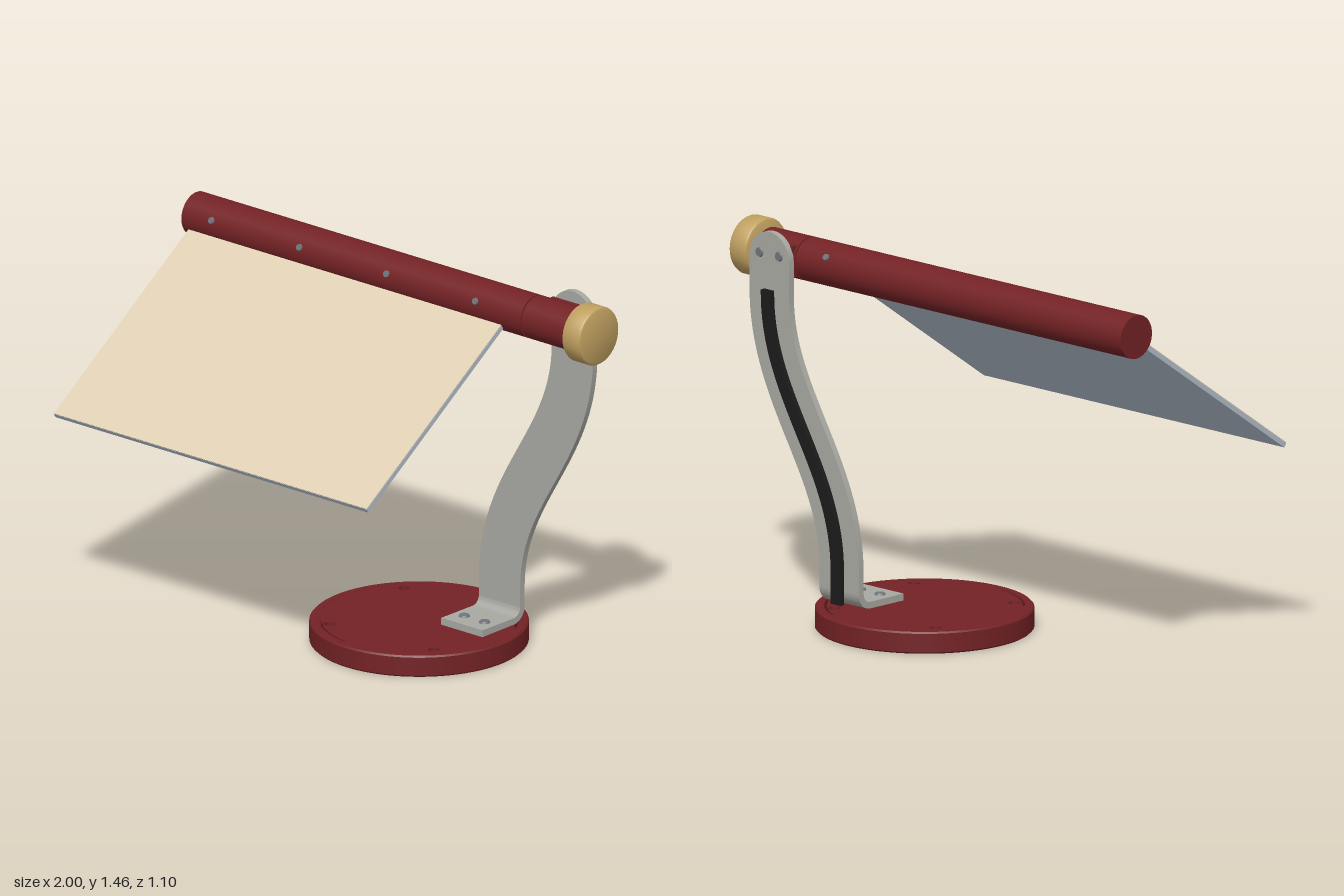
import * as THREE from 'three';
import { toCreasedNormals } from 'three/addons/utils/BufferGeometryUtils.js';

const flat = (name, color, side = THREE.FrontSide) => {
  const m = new THREE.MeshStandardMaterial({ color, side });
  m.name = name;
  return m;
};

export function createModel() {
  const model = new THREE.Group();
  model.name = 'sheetHolder';
  const red = flat('darkRed', 0x732225);
  const metal = flat('brushedMetal', 0xa8a8a2);
  const brass = flat('brass', 0xc0a060);
  const paperMat = flat('cream', 0xdfceb2);
  const panelMat = flat('paleBlueGrey', 0xb4c0cc);
  const black = flat('black', 0x1b1b1b);
  const plateMat = flat('weightGrey', 0x66696d);
  const screwMat = flat('screwSteel', 0x70757a);

  const add = (name, geo, mat, x = 0, y = 0, z = 0, parent = model) => {
    const mesh = new THREE.Mesh(geo, mat);
    mesh.name = name;
    mesh.position.set(x, y, z);
    parent.add(mesh);
    return mesh;
  };
  const lathe = (pts, seg = 64) =>
    toCreasedNormals(new THREE.LatheGeometry(pts.map(p => new THREE.Vector2(...p)), seg), 0.5);
  const extrude = (shape, depth) =>
    toCreasedNormals(new THREE.ExtrudeGeometry(shape, { depth, bevelEnabled: false, curveSegments: 32 }), 0.5);

  // Round base: hollow rim, pierced top plate, weight underneath
  const base = new THREE.Group();
  base.name = 'base';
  base.position.set(0.218, 0, -0.14);
  model.add(base);
  add('baseRim', lathe([[0.375, 0], [0.4, 0], [0.406, 0.006], [0.406, 0.077], [0.4, 0.083],
    [0.375, 0.083], [0.375, 0]], 96), red, 0, 0, 0, base);
  const top = new THREE.Shape().absarc(0, 0, 0.377, 0, Math.PI * 2, false);
  for (let k = 0; k < 4; k++) {
    const a = 0.89 + k * Math.PI / 2;
    top.holes.push(new THREE.Path().absarc(Math.cos(a) * 0.335, Math.sin(a) * 0.335, 0.022, 0, Math.PI * 2, true));
  }
  for (const a of [0.82, 4.24]) {
    const slit = new THREE.Path();
    slit.absarc(0, 0, 0.371, a - 0.35, a + 0.35, false);
    slit.absarc(0, 0, 0.362, a + 0.35, a - 0.35, true);
    slit.closePath();
    top.holes.push(slit);
  }
  add('baseTop', extrude(top, 0.022).rotateX(-Math.PI / 2), red, 0, 0.06, 0, base);
  add('baseWeight', new THREE.CylinderGeometry(0.3, 0.3, 0.025, 64), plateMat, 0, 0.05, 0, base);

  // S-shaped centre line shared by the arm and its cable channel
  const curve = new THREE.CubicBezierCurve(
    new THREE.Vector2(0.425, 0.22), new THREE.Vector2(0.425, 0.62),
    new THREE.Vector2(0.785, 0.82), new THREE.Vector2(0.785, 1.22));
  const strap = (halfWidth, y0, y1, rounded) => {
    const left = [], right = [];
    const side = (p, t) => {
      left.push(new THREE.Vector2(p.x - t.y * halfWidth, p.y + t.x * halfWidth));
      right.push(new THREE.Vector2(p.x + t.y * halfWidth, p.y - t.x * halfWidth));
    };
    const up = new THREE.Vector2(0, 1);
    side(new THREE.Vector2(0.425, y0), up);
    for (let i = 0; i <= 36; i++) side(curve.getPoint(i / 36), curve.getTangent(i / 36));
    side(new THREE.Vector2(0.785, y1), up);
    const cap = [];
    for (let i = 1; rounded && i < 24; i++) {
      const a = i / 24 * Math.PI;
      cap.push(new THREE.Vector2(0.785 + Math.cos(a) * halfWidth, y1 + Math.sin(a) * halfWidth));
    }
    return new THREE.Shape([...right, ...cap, ...left.reverse()]);
  };
  add('arm', extrude(strap(0.102, 0.145, 1.348, true), 0.025), metal, 0, 0, -0.38);
  add('cableChannel', extrude(strap(0.025, 0.095, 1.23, false), 0.02), black, 0, 0, -0.4);

  // Foot bent forward from the arm
  const foot = new THREE.Shape();
  foot.moveTo(-0.145, 0.083);
  foot.lineTo(-0.145, 0.11);
  foot.lineTo(-0.32, 0.11);
  foot.absarc(-0.32, 0.145, 0.035, -Math.PI / 2, -Math.PI, true);
  foot.lineTo(-0.38, 0.145);
  foot.absarc(-0.32, 0.145, 0.06, Math.PI, Math.PI * 1.5, false);
  foot.lineTo(-0.145, 0.083);
  add('foot', extrude(foot, 0.204).rotateY(-Math.PI / 2), metal, 0.527, 0, 0);
  for (const dx of [-0.05, 0.05]) {
    add('footScrew', new THREE.CylinderGeometry(0.018, 0.022, 0.008, 20), screwMat, 0.425 + dx, 0.113, -0.215);
    add('armScrew', new THREE.CylinderGeometry(0.02, 0.016, 0.008, 20).rotateX(Math.PI / 2),
      screwMat, 0.785 + dx, 1.365, -0.382);
  }

  // Roller tube with its end section and mounting block
  const cy = 1.347, cz = -0.271, r = 0.083;
  const tube = (name, x0, x1, rad, mat) =>
    add(name, new THREE.CylinderGeometry(rad, rad, x1 - x0, 56).rotateZ(-Math.PI / 2), mat, (x0 + x1) / 2, cy, cz);
  tube('roller', -1, 0.676, r, red);
  tube('rollerJoint', 0.67, 0.69, 0.076, red);
  tube('rollerEnd', 0.683, 0.887, r, red);
  tube('knobNeck', 0.88, 0.915, 0.045, brass);
  add('mountBlock', new THREE.BoxGeometry(0.19, 0.12, 0.06), red, 0.785, cy, -0.327);

  // Turning knob with rounded edges
  add('knob', lathe([[0, 0], [0.1, 0], [0.108, 0.004], [0.112, 0.012], [0.112, 0.08],
    [0.108, 0.088], [0.1, 0.092], [0, 0.092]]).rotateZ(-Math.PI / 2), brass, 0.906, cy, -0.267);

  // Small screws along the front of the roller, one on the back
  const rollerScrew = (x, angle) => {
    const s = add('rollerScrew', new THREE.CylinderGeometry(0.012, 0.015, 0.012, 16), screwMat,
      x, cy + Math.sin(angle) * r, cz + Math.cos(angle) * r);
    s.rotation.x = Math.PI / 2 - angle;
  };
  for (const x of [-0.855, -0.42, 0.01, 0.45]) rollerScrew(x, 0.33);
  rollerScrew(0.53, Math.PI - 0.56);

  // Sloping panel with a sheet on top, radiating from the roller axis
  const panel = new THREE.Group();
  panel.name = 'slopingPanel';
  panel.position.set(-0.2, cy, cz);
  panel.rotation.x = 0.607;
  model.add(panel);
  add('panel', new THREE.BoxGeometry(1.548, 0.018, 0.935), panelMat, 0, 0, 0.5275, panel);
  add('sheet', new THREE.BoxGeometry(1.546, 0.003, 0.933), paperMat, 0, 0.0105, 0.5275, panel);
  return model;
}
